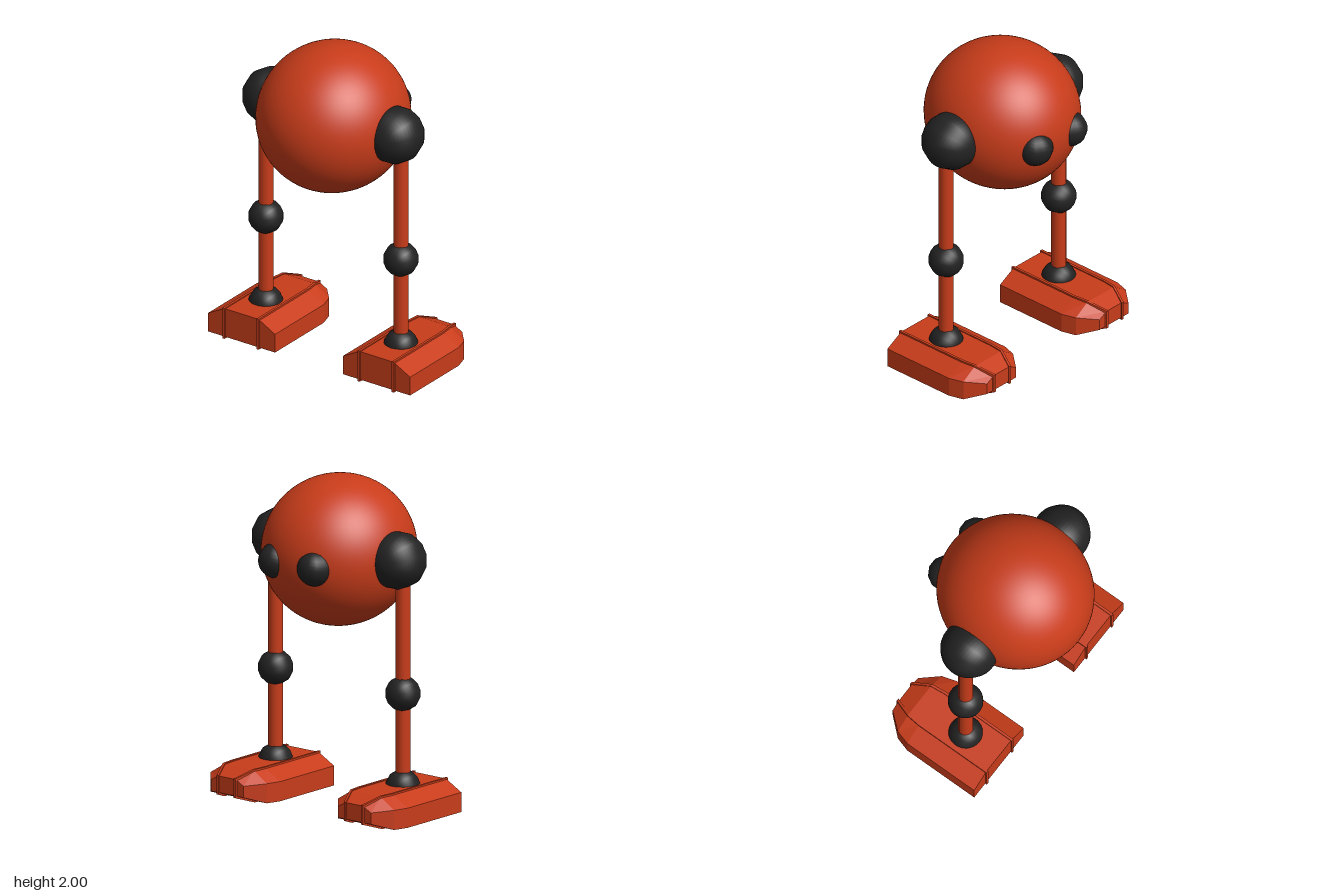
import * as THREE from 'three';

const red = new THREE.MeshStandardMaterial({ color: 0xc83c1a });
const redFlat = new THREE.MeshStandardMaterial({ color: 0xc83c1a, flatShading: true });
const black = new THREE.MeshStandardMaterial({ color: 0x222222 });

const CX = -0.018; // body and leg axis
const LEG_Z = 0.493;

function add(parent, name, geometry, material, x = 0, y = 0, z = 0) {
  const mesh = new THREE.Mesh(geometry, material);
  mesh.name = name;
  mesh.position.set(x, y, z);
  parent.add(mesh);
  return mesh;
}

// Ball joint: twelve-sided around the sideways axis, smooth across it
function jointBall(r) {
  return new THREE.SphereGeometry(r, 12, 24).rotateZ(Math.PI / 2).rotateX(Math.PI / 12);
}

// Closed solid through equal-length [z, y] outlines placed along x
function loft(xs, outlines) {
  const pos = [];
  const n = outlines[0].length;
  const last = xs.length - 1;
  const put = (...corners) => {
    for (const [s, i] of corners) pos.push(xs[s], outlines[s][i % n][1], outlines[s][i % n][0]);
  };
  for (let s = 0; s < last; s++) {
    for (let i = 0; i < n; i++) {
      put([s, i], [s + 1, i], [s + 1, i + 1]);
      put([s, i], [s + 1, i + 1], [s, i + 1]);
    }
  }
  for (let i = 1; i < n - 1; i++) {
    put([0, 0], [0, i], [0, i + 1]);
    put([last, 0], [last, i + 1], [last, i]);
  }
  const g = new THREE.BufferGeometry();
  g.setAttribute('position', new THREE.Float32BufferAttribute(pos, 3));
  g.computeVertexNormals();
  return g;
}

// Foot stations: x, half width, half width of the top, bottom, shoulder and top heights
const stations = [
  [-0.265, 0.245, 0.125, 0.01, 0.13, 0.195],
  [0.23, 0.245, 0.125, 0.01, 0.13, 0.195],
  [0.32, 0.218, 0.115, 0.01, 0.13, 0.195],
  [0.427, 0.127, 0.066, 0.05, 0.12, 0.152],
];

function makeFoot() {
  const foot = new THREE.Group();
  foot.name = 'foot';
  const xs = stations.map((s) => s[0]);
  add(foot, 'footBlock', loft(xs, stations.map(([, b, t, y0, y1, y2]) =>
    [[b, y0], [b, y1], [t, y2], [-t, y2], [-b, y1], [-b, y0]])), redFlat);

  // Thin raised bands wrapping the foot lengthwise
  const bandXs = xs.map((x, i) => x + (i === 0 ? -0.009 : i === 3 ? 0.009 : 0));
  for (const side of [1, -1]) {
    const outlines = stations.map(([, , t, y0, , y2]) => {
      const z = side * t;
      return [[z + 0.008, y0 - 0.01], [z + 0.008, y2 + 0.006],
        [z - 0.008, y2 + 0.006], [z - 0.008, y0 - 0.01]];
    });
    add(foot, 'footBand', loft(bandXs, outlines), redFlat);
  }
  return foot;
}

function makeLeg() {
  const leg = new THREE.Group();
  leg.name = 'leg';
  const rod = (y0, y1) => new THREE.CylinderGeometry(0.045, 0.045, y1 - y0, 16).translate(0, (y0 + y1) / 2, 0);
  add(leg, 'thigh', rod(0.74, 1.5), red, CX);
  add(leg, 'shin', rod(0.17, 0.74), red, CX);
  add(leg, 'knee', jointBall(0.106), black, CX, 0.743);
  add(leg, 'ankle', jointBall(0.104), black, CX, 0.175);
  leg.add(makeFoot());
  return leg;
}

export function createModel() {
  const model = new THREE.Group();
  model.name = 'walker';

  // Ball body
  add(model, 'body', new THREE.SphereGeometry(1, 64, 40), red, CX, 1.545, 0).scale.set(0.477, 0.455, 0.455);

  for (const side of [1, -1]) {
    const name = side > 0 ? 'left' : 'right';
    add(model, name + 'Hip', jointBall(0.175), black, CX, 1.55, side * 0.453);
    add(model, name + 'Eye', new THREE.SphereGeometry(0.108, 12, 16).rotateY(Math.PI / 12),
      black, 0.383, 1.53, side * 0.15);
    const leg = makeLeg();
    leg.name = name + 'Leg';
    leg.position.z = side * LEG_Z;
    model.add(leg);
  }
  return model;
}
